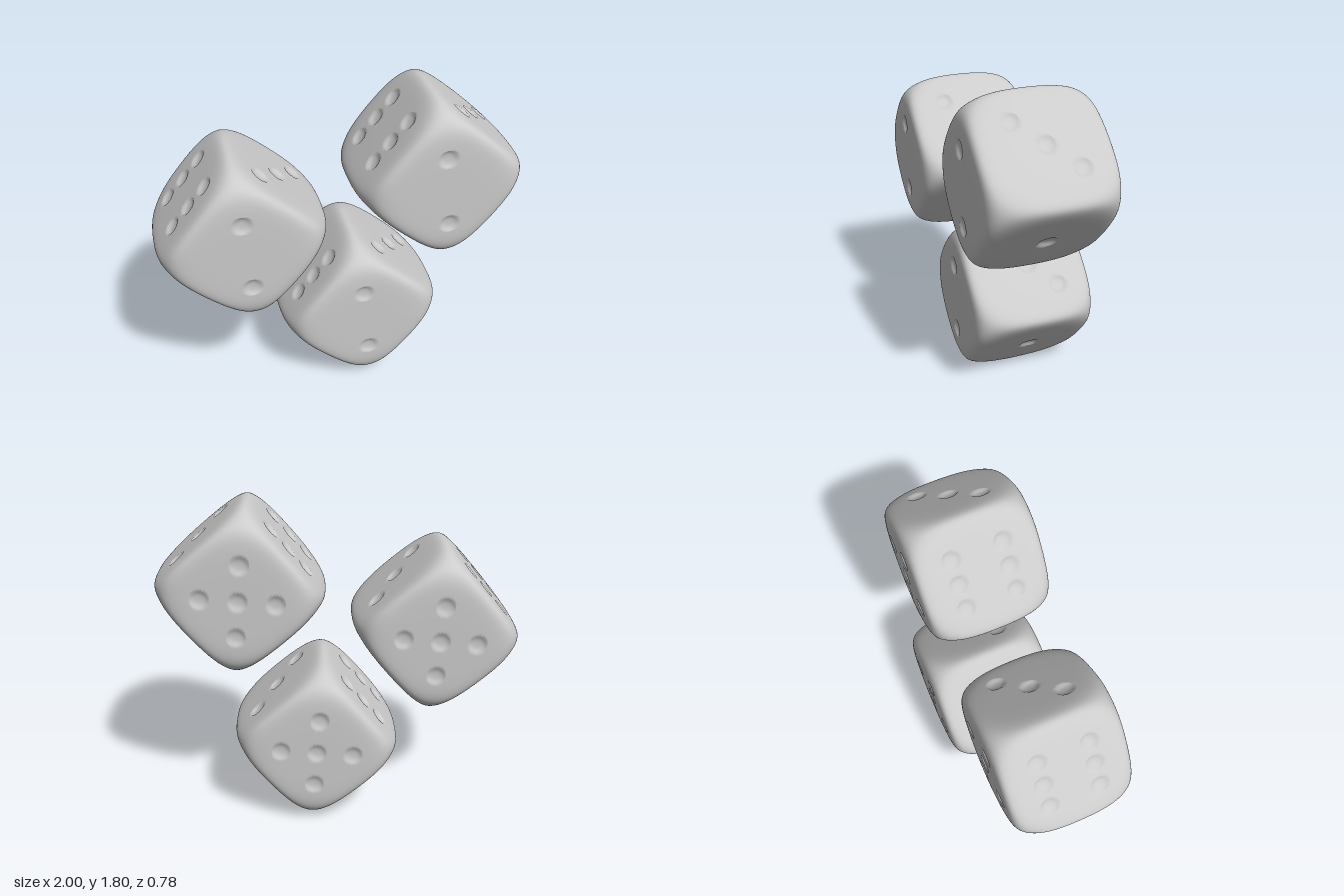
import * as THREE from 'three';
import { mergeVertices } from 'three/addons/utils/BufferGeometryUtils.js';

const HALF = 0.35;        // half the side of a die
const BALL = 0.51;        // radius of the ball that trims the corners
const POWER = 16;         // sharpness of the rounding
const SEG = 62;
const STEP = 0.142;       // pip spacing
const PIP_R = 0.053;
const PIP_DEPTH = 0.014;

// Pip layouts: axis, side of the die, and positions along the other two axes
const FACES = [
  { axis: 0, side: 1, pips: [[0, 0]] },
  { axis: 0, side: -1, pips: [[-1, -1], [0, -1], [1, -1], [-1, 1], [0, 1], [1, 1]] },
  { axis: 1, side: 1, pips: [[1, -1], [0, 0], [-1, 1]] },
  { axis: 1, side: -1, pips: [[-1, -1], [-1, 1], [1, -1], [1, 1]] },
  { axis: 2, side: 1, pips: [[-1, 1], [1, -1]] },
  { axis: 2, side: -1, pips: [[-1, -1], [-1, 1], [0, 0], [1, -1], [1, 1]] },
];

// Pull a point of the cube onto the rounded, ball-trimmed cube
function roundOff(p) {
  const sum = p.reduce((s, c) => s + Math.abs(c / HALF) ** POWER, 0)
    + (Math.hypot(...p) / BALL) ** POWER;
  return p.map((c) => c * sum ** (-1 / POWER));
}

function dieGeometry() {
  const cell = (2 * HALF) / SEG;
  const box = new THREE.BoxGeometry(2 * HALF, 2 * HALF, 2 * HALF, SEG, SEG, SEG);
  const pos = box.attributes.position;
  for (let i = 0; i < pos.count; i++) {
    const p = [pos.getX(i), pos.getY(i), pos.getZ(i)];
    let dent = 0;
    let dentFace = null;
    for (const face of FACES) {
      if (Math.abs(p[face.axis] - face.side * HALF) > 1e-5) continue;
      const [u, v] = [0, 1, 2].filter((a) => a !== face.axis);
      for (const [a, b] of face.pips) {
        const du = p[u] - a * STEP, dv = p[v] - b * STEP;
        let d = Math.hypot(du, dv);
        // Snap nearby grid points to the rim so that it is a clean circle
        if (Math.abs(d - PIP_R) < 0.55 * cell) {
          p[u] = a * STEP + (du * PIP_R) / d;
          p[v] = b * STEP + (dv * PIP_R) / d;
          d = PIP_R;
        }
        if (d < PIP_R) {
          dent = PIP_DEPTH * (1 - (d / PIP_R) ** 3);
          dentFace = face;
        }
      }
    }
    const q = roundOff(p);
    if (dentFace) q[dentFace.axis] -= dentFace.side * dent;
    pos.setXYZ(i, ...q);
  }
  // Weld the six sides for smooth shading across the edges
  box.deleteAttribute('normal');
  box.deleteAttribute('uv');
  const geometry = mergeVertices(box, 1e-5);
  geometry.computeVertexNormals();
  return geometry;
}

export function createModel() {
  const group = new THREE.Group();
  group.name = 'threeDice';
  const geometry = dieGeometry();
  const material = new THREE.MeshStandardMaterial({ color: 0xcccccc });
  const dice = [
    ['leftDie', 0.5375, 1.33, 0.04],
    ['rightDie', -0.5375, 1.09, 0.04],
    ['lowerDie', 0.133, 0.4625, -0.04],
  ];
  for (const [name, x, y, z] of dice) {
    const die = new THREE.Mesh(geometry, material);
    die.name = name;
    die.position.set(x, y, z);
    die.rotation.z = THREE.MathUtils.degToRad(-40);
    group.add(die);
  }
  return group;
}
